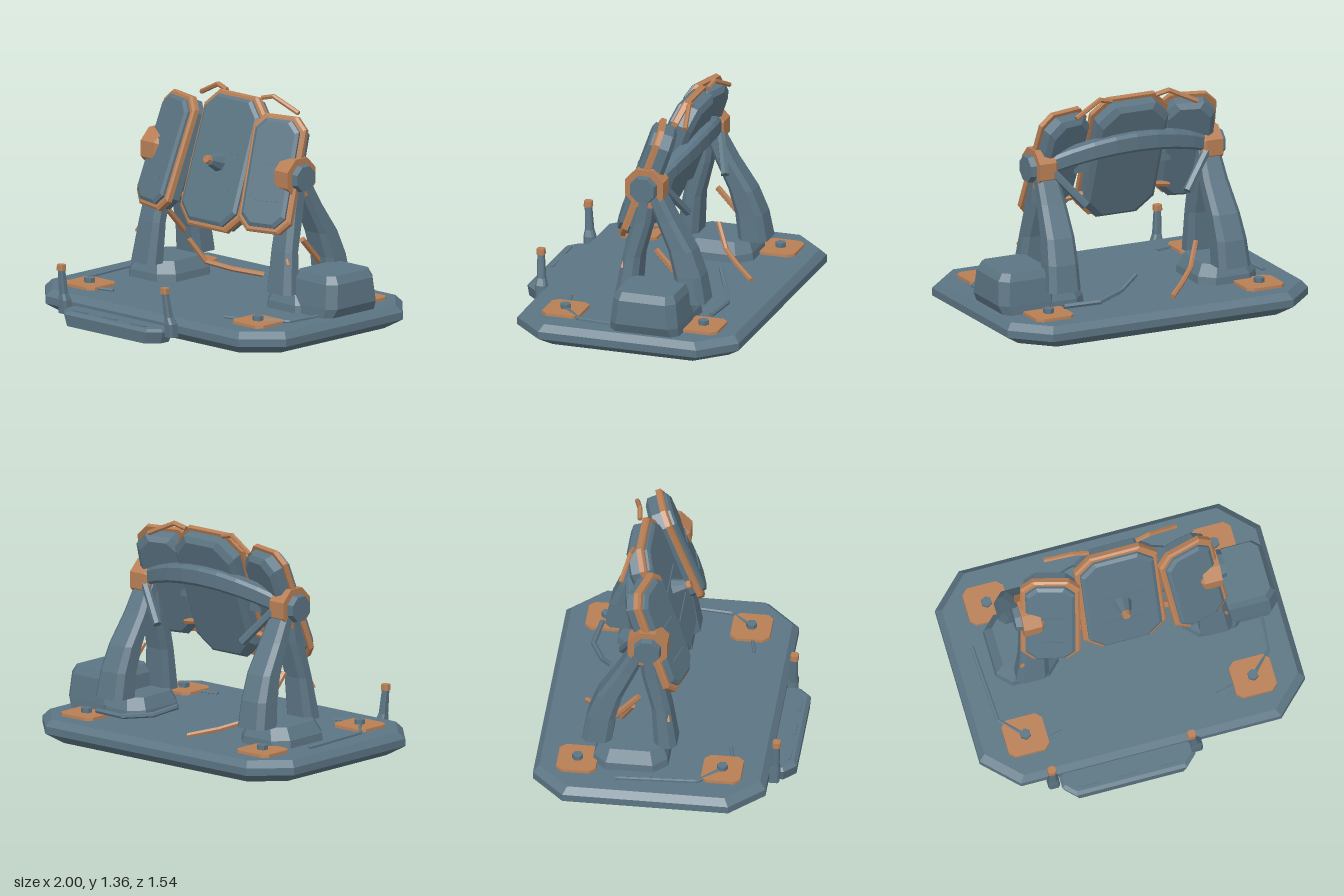
import * as THREE from 'three';

const blue = new THREE.MeshStandardMaterial({ color: 0x5c7584 });
blue.name = 'slate blue';
const copper = new THREE.MeshStandardMaterial({ color: 0xb87f55 });
copper.name = 'copper';

function flat(geo) {
  const g = geo.index ? geo.toNonIndexed() : geo;
  g.computeVertexNormals();
  return g;
}

function add(parent, name, geo, mat, x = 0, y = 0, z = 0) {
  const m = new THREE.Mesh(flat(geo), mat);
  m.name = name;
  m.position.set(x, y, z);
  parent.add(m);
  return m;
}

// Loft of chamfered rectangles along z; level = [z, halfWidth, halfHeight, cut, cx, cy]
function loft(levels) {
  const rings = levels.map(([z, w, h, c, cx = 0, cy = 0]) => [
    [w, -h + c], [w, h - c], [w - c, h], [-w + c, h],
    [-w, h - c], [-w, -h + c], [-w + c, -h], [w - c, -h],
  ].map(([x, y]) => [x + cx, y + cy, z]));
  const p = [];
  const tri = (a, b, c) => p.push(...a, ...b, ...c);
  for (let i = 0; i + 1 < rings.length; i++) {
    for (let j = 0; j < 8; j++) {
      const k = (j + 1) % 8, a = rings[i], b = rings[i + 1];
      tri(a[j], a[k], b[k]);
      tri(a[j], b[k], b[j]);
    }
  }
  const first = rings[0], last = rings[rings.length - 1];
  for (let j = 1; j < 7; j++) {
    tri(first[0], first[j + 1], first[j]);
    tri(last[0], last[j], last[j + 1]);
  }
  const g = new THREE.BufferGeometry();
  g.setAttribute('position', new THREE.Float32BufferAttribute(p, 3));
  return g;
}

// Upright loft: level = [y, halfX, halfZ, cut, x, z]
const upright = (levels) =>
  loft(levels.map(([y, w, d, c, x = 0, z = 0]) => [y, w, d, c, x, -z])).rotateX(-Math.PI / 2);

// Straight rods joining the given points
function pipe(parent, name, pts, r, mat) {
  const g = new THREE.Group();
  g.name = name;
  const v = pts.map((p) => new THREE.Vector3(...p));
  for (let i = 0; i + 1 < v.length; i++) {
    const d = v[i + 1].clone().sub(v[i]);
    const m = add(g, name + 'Segment', new THREE.CylinderGeometry(r, r, d.length() + r * 0.5, 6), mat);
    m.position.copy(v[i]).addScaledVector(d, 0.5);
    m.quaternion.setFromUnitVectors(new THREE.Vector3(0, 1, 0), d.normalize());
  }
  parent.add(g);
}

// Armoured panel: back slab, copper frame, bevelled face and two ribs
function panel(parent, name, hw, hh, cut, ribW, ribs) {
  const g = new THREE.Group();
  g.name = name;
  g.rotation.order = 'YXZ';
  g.rotation.x = -0.34;
  add(g, 'backSlab', loft([[-0.08, hw - 0.05, hh - 0.05, cut], [-0.055, hw - 0.02, hh - 0.02, cut], [0.012, hw - 0.02, hh - 0.02, cut]]), blue);
  add(g, 'frame', loft([[0.005, hw, hh, cut], [0.035, hw, hh, cut], [0.045, hw - 0.012, hh - 0.012, cut]]), copper);
  add(g, 'facePlate', loft([[0.04, hw - 0.03, hh - 0.03, cut * 0.9], [0.06, hw - 0.03, hh - 0.03, cut * 0.9], [0.073, hw - 0.05, hh - 0.05, cut * 0.8]]), blue);
  for (const y of ribs) add(g, 'rib', new THREE.BoxGeometry(ribW, 0.01, 0.008), blue, 0, y, 0.075);
  parent.add(g);
  return g;
}

export function createModel() {
  const root = new THREE.Group();
  root.name = 'panelArray';

  // Base plate
  add(root, 'basePlate', upright([
    [0, 0.9, 0.61, 0.17, 0, -0.075], [0.06, 1, 0.695, 0.2, 0, -0.075],
    [0.105, 1, 0.695, 0.2, 0, -0.075], [0.145, 0.965, 0.66, 0.19, 0, -0.075],
  ]), blue);

  // Front step with slots
  add(root, 'step', upright([
    [0, 0.39, 0.105, 0.07, -0.16, 0.66], [0.07, 0.41, 0.11, 0.07, -0.16, 0.66],
    [0.088, 0.39, 0.09, 0.06, -0.16, 0.66],
  ]), blue);
  for (const x of [-0.41, -0.17, 0.07]) add(root, 'stepSlot', new THREE.BoxGeometry(0.115, 0.008, 0.018), blue, x, 0.09, 0.72);

  // Posts beside the step
  for (const [x, lean] of [[-0.61, -0.015], [0.27, -0.035]]) {
    add(root, 'post', upright([
      [0.04, 0.035, 0.035, 0.012, x, 0.645], [0.12, 0.032, 0.034, 0.012, x, 0.65],
      [0.16, 0.024, 0.025, 0.01, x + lean * 0.4, 0.655], [0.31, 0.019, 0.019, 0.007, x + lean, 0.665],
    ]), blue);
    add(root, 'postCap', upright([[0.3, 0.026, 0.025, 0.01, x + lean, 0.665], [0.335, 0.024, 0.023, 0.01, x + lean, 0.665]]), copper);
  }

  // Corner pads with bolts
  for (const x of [-0.7, 0.7]) {
    for (const z of [0.35, -0.515]) {
      add(root, 'cornerPad', upright([[0.14, 0.127, 0.12, 0.035, x, z], [0.162, 0.125, 0.118, 0.035, x, z]]), copper);
      add(root, 'bolt', new THREE.CylinderGeometry(0.033, 0.033, 0.035, 6), blue, x, 0.172, z);
    }
  }

  // Floor conduits
  pipe(root, 'floorConduit', [[-0.855, 0.15, -0.27], [-0.83, 0.15, 0.21], [-0.72, 0.16, 0.33]], 0.012, blue);
  pipe(root, 'floorConduit', [[0.855, 0.15, -0.05], [0.83, 0.15, 0.22], [0.72, 0.16, 0.33]], 0.012, blue);
  pipe(root, 'padLead', [[-0.58, 0.15, 0.4], [-0.48, 0.15, 0.375]], 0.011, blue);
  pipe(root, 'padLead', [[0.47, 0.15, 0.395], [0.58, 0.15, 0.37]], 0.011, blue);

  // Loose hoses behind the panels
  pipe(root, 'copperHose', [[-0.43, 0.37, -0.22], [-0.36, 0.235, -0.29], [-0.25, 0.19, -0.4], [-0.12, 0.155, -0.53]], 0.016, copper);
  pipe(root, 'blueHose', [[0.07, 0.28, -0.41], [0.2, 0.22, -0.48], [0.38, 0.195, -0.555], [0.6, 0.19, -0.53]], 0.016, blue);

  // Power unit
  add(root, 'powerUnit', upright([
    [0.14, 0.16, 0.215, 0.04, 0.775, -0.215], [0.2, 0.188, 0.212, 0.05, 0.775, -0.215],
    [0.345, 0.178, 0.195, 0.05, 0.775, -0.215], [0.392, 0.15, 0.175, 0.04, 0.775, -0.215],
  ]), blue);

  // Supports, mirrored left and right
  for (const s of [-1, 1]) {
    add(root, 'footing', upright([
      [0.14, 0.195, 0.225, 0.08, s * 0.575, -0.2], [0.19, 0.19, 0.22, 0.08, s * 0.575, -0.2],
      [0.262, 0.15, 0.19, 0.07, s * 0.57, -0.2],
    ]), blue);
    add(root, 'frontLeg', upright([
      [0.25, 0.1, 0.068, 0.035, s * 0.565, 0.0], [0.5, 0.085, 0.056, 0.03, s * 0.55, -0.03],
      [0.72, 0.075, 0.06, 0.028, s * 0.54, -0.085], [0.92, 0.068, 0.05, 0.025, s * 0.54, -0.12],
    ]), blue);
    add(root, 'rearLeg', upright([
      [0.26, 0.105, 0.09, 0.035, s * 0.565, -0.41], [0.42, 0.098, 0.085, 0.035, s * 0.56, -0.385],
      [0.57, 0.09, 0.075, 0.03, s * 0.55, -0.335], [0.75, 0.08, 0.06, 0.028, s * 0.54, -0.235],
      [0.92, 0.068, 0.05, 0.025, s * 0.54, -0.15],
    ]), blue);

    // Pivot hub and axle
    const hub = new THREE.Group();
    hub.name = 'pivotHub';
    hub.position.set(s * 0.55, 0.935, -0.11);
    hub.rotation.z = -s * Math.PI / 2;
    const turn = Math.PI / 8;
    add(hub, 'hubDrum', new THREE.CylinderGeometry(0.128, 0.128, 0.11, 8).rotateY(turn), copper, 0, 0.005, 0);
    add(hub, 'hubBevel', new THREE.CylinderGeometry(0.128, 0.1, 0.025, 8).rotateY(turn), copper, 0, -0.0625, 0);
    add(hub, 'axle', new THREE.CylinderGeometry(0.08, 0.092, 0.06, 8).rotateY(turn), blue, 0, 0.068, 0);
    root.add(hub);

    // Struts and cables around the legs
    pipe(root, 'legStrut', [[s * 0.56, 0.54, -0.17], [s * 0.56, 0.38, -0.32]], 0.02, copper);
    pipe(root, 'legCable', [[s * 0.63, 0.43, 0.02], [s * 0.58, 0.52, 0.005]], 0.012, copper);
    pipe(root, 'rearStrut', [[s * 0.52, 0.93, -0.2], [s * 0.34, 0.72, -0.29]], 0.026, blue);

    // Side panel, angled outward
    const side = panel(root, 'sidePanel', 0.178, 0.355, 0.07, 0.16, [0.055, -0.165]);
    side.position.set(s * 0.432, 0.935, -0.065);
    side.rotation.y = s * 0.26;

    // Links between centre and side panels
    add(root, 'panelHinge', new THREE.BoxGeometry(0.1, 0.06, 0.05), blue, s * 0.27, 1.03, -0.13);
    add(root, 'panelHinge', new THREE.BoxGeometry(0.1, 0.06, 0.05), blue, s * 0.27, 0.89, -0.08);
    pipe(root, 'lowerLink', [[s * 0.2, 0.71, -0.04], [s * 0.34, 0.69, -0.03]], 0.02, copper);
    pipe(root, 'topLink', [[s * 0.15, 1.325, -0.25], [s * 0.23, 1.345, -0.26], [s * 0.4, 1.265, -0.295]], 0.015, copper);
  }

  // Arched yoke beam behind the panels
  const beam = [];
  for (let i = -4; i <= 4; i++) {
    const t = i / 4, k = 1 - t * t;
    beam.push([t * 0.54, 0.045 + 0.005 * k, 0.05 + 0.008 * k, 0.018, 0.15 + 0.11 * k, 0.95 + 0.11 * k]);
  }
  add(root, 'yokeBeam', loft(beam).rotateY(Math.PI / 2), blue);

  // Centre panel and nozzle
  const centre = panel(root, 'centrePanel', 0.255, 0.415, 0.1, 0.28, [0.055, -0.165]);
  centre.position.set(0, 0.935, -0.1);
  add(centre, 'nozzle', new THREE.CylinderGeometry(0.034, 0.058, 0.085, 8).rotateX(Math.PI / 2), blue, 0, -0.015, 0.113);
  add(centre, 'nozzleTip', new THREE.CylinderGeometry(0.024, 0.028, 0.03, 8).rotateX(Math.PI / 2), copper, 0, -0.015, 0.168);

  return root;
}
